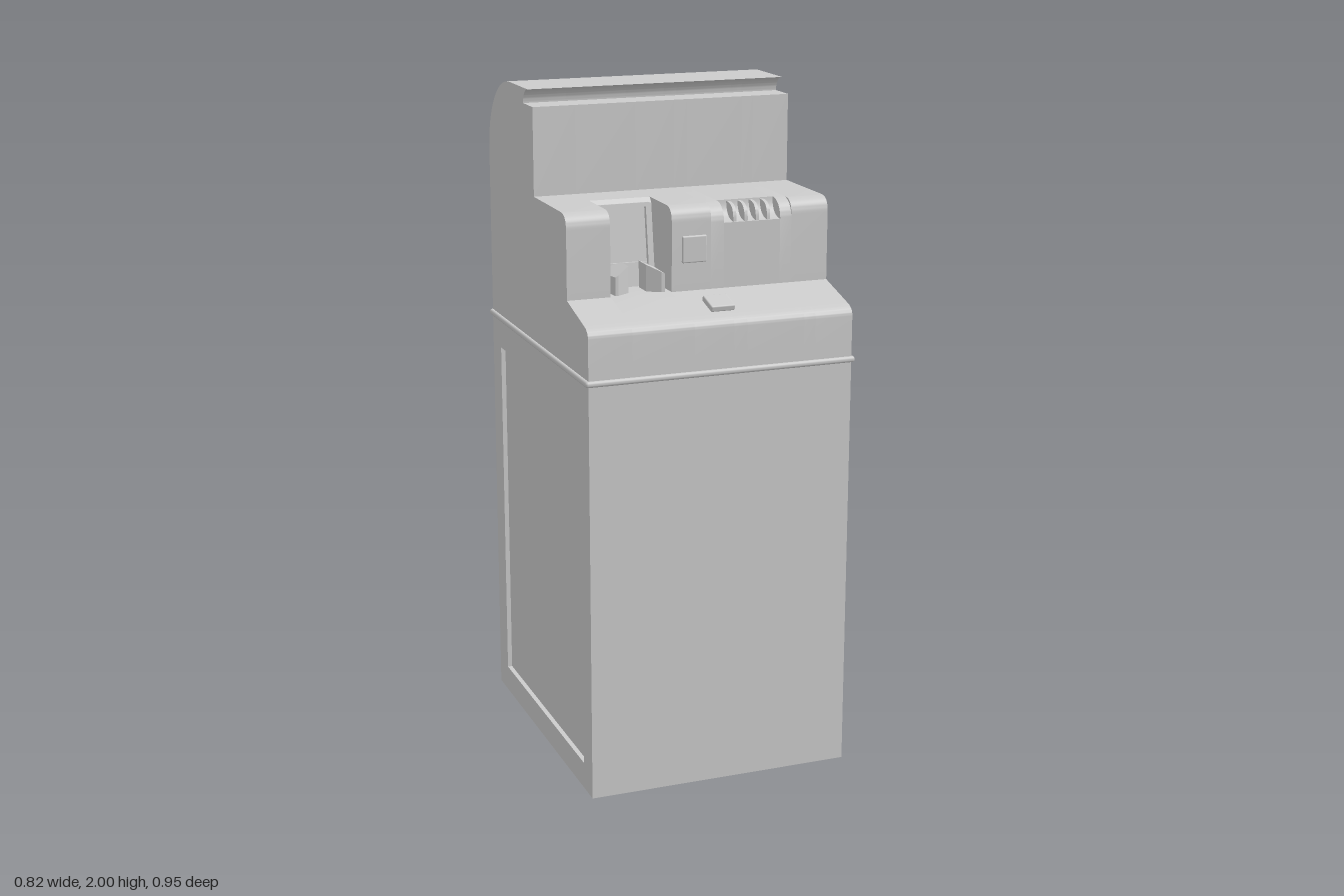
import * as THREE from 'three';
import { toCreasedNormals } from 'three/addons/utils/BufferGeometryUtils.js';
import { RoundedBoxGeometry } from 'three/addons/geometries/RoundedBoxGeometry.js';

const W = 0.4, D = 0.467, SEAM = 1.25;
const NICHE = [-0.27, -0.085], GRILLE = [0.075, 0.25], PLATE = [0.035, 0.285];

// Box without the listed sides (0 +x, 1 -x, 2 +y, 3 -y, 4 +z, 5 -z)
function openBox(w, h, d, skip) {
  const g = new THREE.BoxGeometry(w, h, d);
  const index = Array.from(g.index.array).filter((_, i) => !skip.includes(Math.floor(i / 6)));
  g.setIndex(index);
  g.clearGroups();
  return g;
}

// Stepped side profile in (z, y); step() draws the front edge of the middle step
function headProfile(step) {
  const s = new THREE.Shape();
  s.moveTo(D, SEAM);
  s.lineTo(D, 1.38);
  s.quadraticCurveTo(D, 1.403, 0.435, 1.411);
  s.lineTo(0.285, 1.45);
  step(s);
  s.lineTo(-0.012, 1.695);
  s.lineTo(-0.012, 1.955);
  s.absarc(-0.057, 1.955, 0.045, Math.PI, Math.PI / 2, true);
  s.lineTo(-0.237, 2);
  s.absarc(-0.237, 1.77, 0.23, Math.PI / 2, Math.PI, false);
  s.lineTo(-D, SEAM);
  s.closePath();
  return s;
}

const roundStep = (inset) => (s) => {
  s.lineTo(0.285, 1.65 - inset);
  s.quadraticCurveTo(0.285 - inset, 1.695 - inset, 0.24 - inset, 1.695);
};
const nicheStep = (s) => {
  s.lineTo(0.15, 1.45);
  s.lineTo(0.118, 1.68);
  s.lineTo(0.105, 1.695);
};
const scoopStep = (s) => {
  s.lineTo(0.285, 1.64);
  s.quadraticCurveTo(0.228, 1.64, 0.226, 1.695);
};

// Extrudes a (z, y) shape from x0 to x1
function slice(shape, x0, x1) {
  const g = new THREE.ExtrudeGeometry(shape, { depth: x1 - x0, bevelEnabled: false, curveSegments: 12 });
  g.rotateY(-Math.PI / 2);
  g.translate(x1, 0, 0);
  return toCreasedNormals(g, 0.5);
}

export function createModel() {
  const model = new THREE.Group();
  const mat = new THREE.MeshStandardMaterial({ color: 0xcccccc, side: THREE.DoubleSide });
  const add = (name, geometry, x = 0, y = 0, z = 0, parent = model) => {
    const m = new THREE.Mesh(geometry, mat);
    m.name = name;
    m.position.set(x, y, z);
    parent.add(m);
    return m;
  };

  // Cabinet: hollow, open underneath, with a recessed door on the right side
  add('cabinetWalls', openBox(2 * W, SEAM, 2 * D, [1, 2, 3]), 0, SEAM / 2, 0);
  const z0 = -0.385, z1 = 0.39, y0 = 0.08, y1 = 1.155, depth = 0.014;
  const wall = new THREE.Shape([[-D, 0], [D, 0], [D, SEAM], [-D, SEAM]].map((p) => new THREE.Vector2(...p)));
  wall.holes.push(new THREE.Path([[z0, y0], [z0, y1], [z1, y1], [z1, y0]].map((p) => new THREE.Vector2(...p))));
  add('doorFrame', new THREE.ShapeGeometry(wall).rotateY(-Math.PI / 2), -W);
  add('doorPanel', openBox(depth, y1 - y0, z1 - z0, [1]), -W + depth / 2, (y0 + y1) / 2, (z0 + z1) / 2);

  // Trim band between cabinet and head
  add('trimBand', new RoundedBoxGeometry(0.82, 0.018, 0.95, 2, 0.008), 0, 1.252, 0);

  // Head: slices across the width, with the niche and the grille cut in
  const head = new THREE.Group();
  head.name = 'head';
  model.add(head);
  const slices = [
    [-W, NICHE[0], roundStep(0)],
    [NICHE[0], NICHE[1], nicheStep],
    [NICHE[1], PLATE[0], roundStep(0)],
    [PLATE[0], GRILLE[0], roundStep(0.006)],
    [GRILLE[0], GRILLE[1], scoopStep],
    [GRILLE[1], PLATE[1], roundStep(0.006)],
    [PLATE[1], W, roundStep(0)],
  ];
  for (const [a, b, step] of slices) add('headSection', slice(headProfile(step), a, b), 0, 0, 0, head);

  // Grille ribs
  const rib = new THREE.Shape();
  rib.moveTo(0.281, 1.635);
  rib.lineTo(0.281, 1.65);
  rib.quadraticCurveTo(0.279, 1.689, 0.24, 1.691);
  rib.lineTo(0.22, 1.691);
  rib.lineTo(0.22, 1.635);
  for (let i = 1; i < 5; i++) {
    const x = GRILLE[0] + (i * (GRILLE[1] - GRILLE[0])) / 5;
    add('grilleRib', slice(rib, x - 0.005, x + 0.005));
  }

  // Dispenser in the niche
  const dispenser = new THREE.Group();
  dispenser.name = 'dispenser';
  dispenser.position.x = (NICHE[0] + NICHE[1]) / 2;
  model.add(dispenser);
  const tilt = -Math.atan2(0.032, 0.23);
  for (const side of [-1, 1]) {
    // Side strip of the sloping back frame
    add('backFrameSide', new THREE.BoxGeometry(0.012, 0.23, 0.016), side * 0.076, 1.568, 0.14, dispenser).rotation.x = tilt;
    // Guide block with an angled front
    const plan = [[0.09, 0.15], [0.065, 0.165], [0.027, 0.19], [0.027, 0.252], [0.065, 0.276], [0.075, 0.276]];
    const shape = new THREE.Shape(plan.map(([x, z]) => new THREE.Vector2(side * x, -z)));
    const block = new THREE.ExtrudeGeometry(shape, { depth: 0.08, bevelEnabled: false });
    block.rotateX(-Math.PI / 2);
    // Tops fall towards the sides
    const p = block.attributes.position;
    for (let i = 0; i < p.count; i++) {
      if (p.getY(i) > 0.04) p.setY(i, 0.08 - 0.5 * (Math.abs(p.getX(i)) - 0.027));
    }
    block.computeVertexNormals();
    add('guideBlock', block, 0, 1.448, 0, dispenser);
  }
  add('backFrameTop', new THREE.BoxGeometry(0.164, 0.012, 0.016), 0, 1.678, 0.125, dispenser).rotation.x = tilt;
  add('backShelf', new THREE.BoxGeometry(0.12, 0.07, 0.025), 0, 1.483, 0.163, dispenser).rotation.x = tilt;

  // Square buttons on the step face and on the sloping ledge
  add('faceButton', new RoundedBoxGeometry(0.075, 0.078, 0.018, 2, 0.004), -0.017, 1.571, 0.283);
  add('ledgeButton', new RoundedBoxGeometry(0.073, 0.018, 0.073, 2, 0.004), 0.018, 1.433, 0.389).rotation.x = Math.atan2(0.039, 0.15);

  return model;
}
